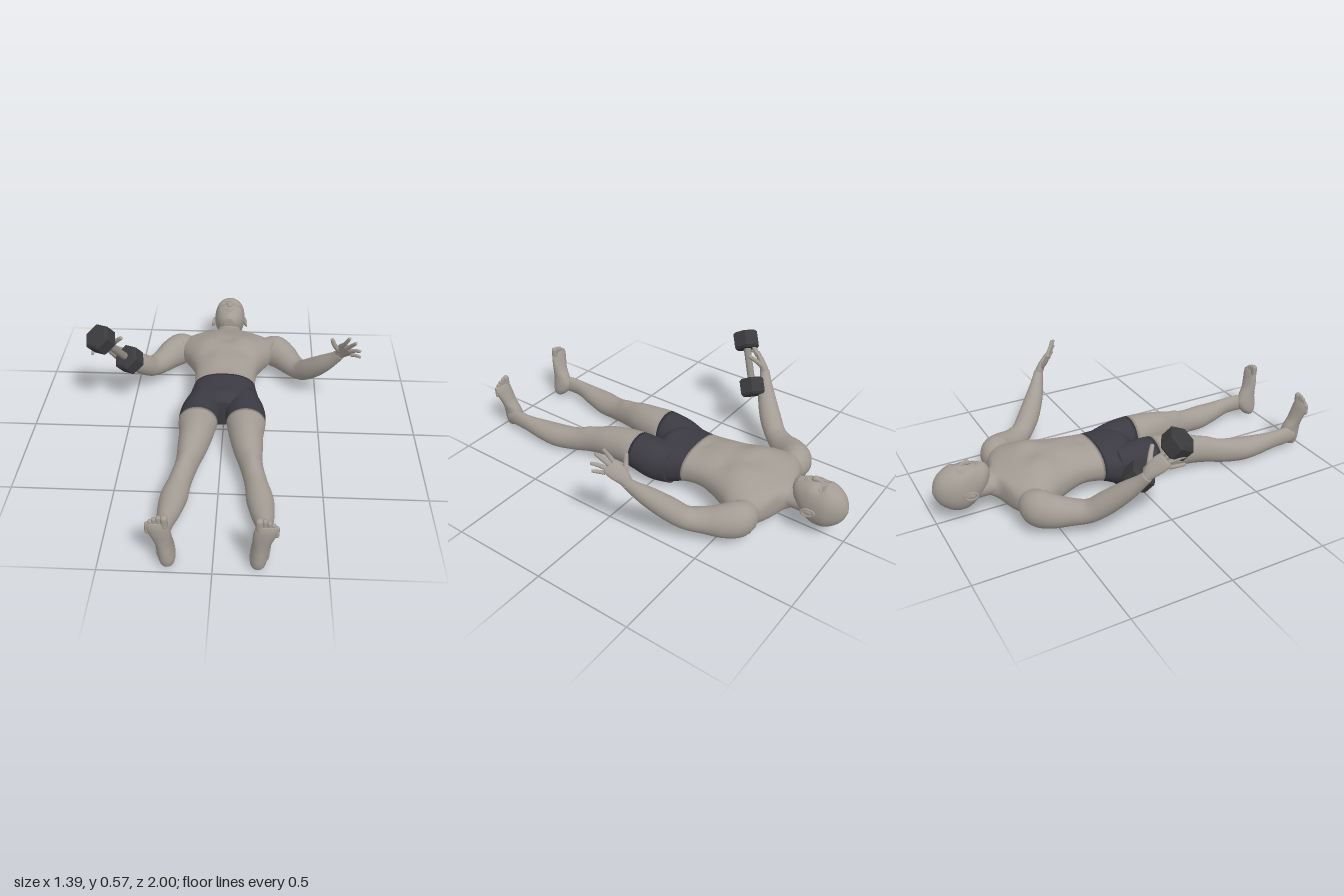
import * as THREE from 'three';

const V = (x, y, z) => new THREE.Vector3(x, y, z);
const mat = (name, color) => Object.assign(new THREE.MeshStandardMaterial({ color }), { name });
const X = V(1, 0, 0), Y = V(0, 1, 0), Z = V(0, 0, 1);

// Smooth closed loft through rows [x, y, z, halfWidth, halfDepth]; from/to are row indices.
function sweep(rows, { axis, side = X, from = 0, to = rows.length - 1, n = 32, sub = 5, power = 2 } = {}) {
  const sample = (t) => {
    const i = Math.min(Math.floor(t), rows.length - 2), f = t - i;
    const at = (k) => rows[Math.max(0, Math.min(rows.length - 1, k))];
    return rows[0].map((_, c) => {
      const a = at(i - 1)[c], b = at(i)[c], d = at(i + 1)[c], e = at(i + 2)[c];
      return b + 0.5 * f * (d - a + f * (2 * a - 5 * b + 4 * d - e + f * (3 * (b - d) + e - a)));
    });
  };
  const pos = [], idx = [], m = Math.round((to - from) * sub);
  const bend = (c) => Math.sign(c) * Math.abs(c) ** (2 / power);
  for (let i = 0; i <= m; i++) {
    const t = from + (i / m) * (to - from), r = sample(t), c = V(...r);
    const last = rows.length - 1;
    const dir = axis ? axis.clone()
      : V(...sample(Math.min(last, t + 0.1))).sub(V(...sample(Math.max(0, t - 0.1)))).normalize();
    const u = side.clone().addScaledVector(dir, -side.dot(dir)).normalize(), v = dir.clone().cross(u);
    for (let j = 0; j < n; j++) {
      const a = (j / n) * Math.PI * 2;
      pos.push(...c.clone().addScaledVector(u, r[3] * bend(Math.cos(a))).addScaledVector(v, r[4] * bend(Math.sin(a))));
      if (i < m) {
        const k = i * n, j2 = (j + 1) % n;
        idx.push(k + j, k + j2, k + n + j, k + j2, k + n + j2, k + n + j);
      }
    }
  }
  const e0 = pos.length / 3, e1 = e0 + 1;
  pos.push(...sample(from).slice(0, 3), ...sample(to).slice(0, 3));
  for (let j = 0; j < n; j++) {
    const j2 = (j + 1) % n;
    idx.push(e0, j2, j, e1, m * n + j, m * n + j2);
  }
  const g = new THREE.BufferGeometry();
  g.setAttribute('position', new THREE.Float32BufferAttribute(pos, 3));
  g.setIndex(idx);
  g.computeVertexNormals();
  return g;
}

// Soft pushes [x, y, z, radius, dx, dy, dz] that model muscle and face forms.
function sculpt(g, pushes) {
  const p = g.attributes.position, v = V();
  for (let i = 0; i < p.count; i++) {
    v.fromBufferAttribute(p, i);
    const o = v.clone();
    for (const [x, y, z, r, dx, dy, dz] of pushes)
      v.addScaledVector(V(dx, dy, dz), Math.exp(-o.distanceToSquared(V(x, y, z)) / (r * r)));
    p.setXYZ(i, v.x, v.y, v.z);
  }
  g.computeVertexNormals();
  return g;
}
const both = (list) => list.flatMap((q) => [q, [-q[0], q[1], q[2], q[3], -q[4], q[5], q[6]]]);

export function createModel() {
  const model = new THREE.Group();
  const skin = mat('skin', 0xa39c94), cloth = mat('shorts', 0x3c3b43);
  const iron = mat('iron', 0x3b3b3e), steel = mat('steel', 0x8c8882);
  const add = (name, geo, m, parent = model) => {
    const o = new THREE.Mesh(geo, m);
    o.name = name;
    parent.add(o);
    return o;
  };
  const blob = (name, p, r, parent) => {
    const o = add(name, new THREE.SphereGeometry(1, 18, 12), skin, parent);
    o.position.set(...p);
    o.scale.set(...r);
    return o;
  };

  // Torso and the seat of the shorts share one loft
  const trunk = [
    [0, 0.16, -0.74, 0.06, 0.05], [0, 0.15, -0.70, 0.085, 0.068], [0, 0.142, -0.66, 0.20, 0.086],
    [0, 0.138, -0.60, 0.275, 0.108], [0, 0.142, -0.52, 0.255, 0.118], [0, 0.15, -0.44, 0.212, 0.117],
    [0, 0.157, -0.36, 0.18, 0.106], [0, 0.16, -0.28, 0.165, 0.094], [0, 0.146, -0.18, 0.165, 0.1],
    [0, 0.123, -0.08, 0.188, 0.117], [0, 0.125, -0.02, 0.17, 0.108], [0, 0.13, 0.03, 0.07, 0.07],
  ];
  const trunkOpts = { axis: Z, n: 56, sub: 7, power: 2.3 };
  add('torso', sculpt(sweep(trunk, { ...trunkOpts, to: 8 }), [
    ...both([[0.1, 0.25, -0.5, 0.075, 0, 0.014, 0], [0.11, 0.03, -0.56, 0.08, 0, -0.012, 0],
      [0.05, 0.255, -0.3, 0.05, 0, 0.005, 0], [0.1, 0.25, -0.39, 0.045, 0, -0.007, 0]]),
    [0, 0.26, -0.5, 0.04, 0, -0.01, 0], [0, 0.25, -0.23, 0.015, 0, -0.01, 0],
    ...[-0.58, -0.5, -0.42, -0.34, -0.26].map((z) => [0, 0.04, z, 0.045, 0, 0.01, 0]),
  ]), skin);
  add('shortsSeat', sculpt(sweep(trunk, { ...trunkOpts, from: 8 }), [
    [0, 0, -0.06, 0.04, 0, 0.025, 0], [0, 0.02, 0, 0.04, 0, 0.03, 0], [0, 0.23, 0, 0.05, 0, 0.012, 0],
  ]), cloth);

  // Neck and head
  add('neck', sweep([
    [0, 0.165, -0.85, 0.06, 0.06], [0, 0.163, -0.77, 0.064, 0.058], [0, 0.16, -0.72, 0.068, 0.056],
    [0, 0.15, -0.67, 0.09, 0.072], [0, 0.145, -0.62, 0.13, 0.085],
  ], { axis: Z }), skin);
  const head = new THREE.Group();
  head.name = 'head';
  model.add(head);
  add('skull', sculpt(sweep([
    [0, 0.19, -1, 0.006, 0.008], [0, 0.19, -0.985, 0.038, 0.05], [0, 0.19, -0.96, 0.063, 0.082],
    [0, 0.188, -0.92, 0.083, 0.108], [0, 0.187, -0.88, 0.088, 0.117], [0, 0.188, -0.84, 0.086, 0.112],
    [0, 0.2, -0.80, 0.079, 0.094], [0, 0.21, -0.77, 0.068, 0.075], [0, 0.22, -0.745, 0.052, 0.054],
    [0, 0.232, -0.727, 0.028, 0.028],
  ], { axis: Z, n: 48, sub: 7, power: 2.15 }), [
    ...both([[0.034, 0.295, -0.868, 0.02, 0, -0.016, 0], [0.035, 0.295, -0.893, 0.018, 0, 0.005, 0],
      [0.055, 0.26, -0.83, 0.025, 0.004, 0.005, 0]]),
    [0, 0.275, -0.742, 0.022, 0, 0.008, 0],
  ]), skin, head);
  add('nose', sweep([[0, 0.288, -0.885, 0.007, 0.008], [0, 0.296, -0.86, 0.008, 0.01],
    [0, 0.303, -0.835, 0.011, 0.013], [0, 0.305, -0.82, 0.016, 0.014], [0, 0.299, -0.809, 0.01, 0.007]],
  { axis: Z, n: 16 }), skin, head);
  blob('upperLip', [0, 0.289, -0.791, ], [0.023, 0.009, 0.006], head);
  blob('lowerLip', [0, 0.285, -0.78], [0.02, 0.01, 0.006], head);

  for (const s of [1, -1]) {
    const label = s > 0 ? 'left' : 'right';
    const flip = (rows) => rows.map(([x, ...r]) => [x * s, ...r]);
    const group = (name) => {
      const g = new THREE.Group();
      g.name = label + name;
      model.add(g);
      return g;
    };
    blob(label + 'Eye', [s * 0.034, 0.276, -0.868], [0.015, 0.011, 0.009], head);

    // Ear: a shell with a raised rim
    const ear = group('Ear');
    ear.position.set(s * 0.09, 0.175, -0.843);
    ear.rotation.y = s * 0.2;
    blob('earShell', [0, 0, 0], [0.008, 0.018, 0.03], ear);
    const rim = add('earRim', new THREE.TorusGeometry(0.02, 0.005, 8, 24), skin, ear);
    rim.rotation.y = Math.PI / 2;
    rim.scale.set(1.5, 0.95, 1);
    rim.position.x = s * 0.005;

    // Leg, split at the hem of the shorts
    const leg = flip([
      [0.1, 0.122, -0.1, 0.085, 0.1], [0.113, 0.127, 0, 0.103, 0.107], [0.122, 0.142, 0.11, 0.099, 0.095],
      [0.125, 0.138, 0.2, 0.086, 0.093], [0.136, 0.13, 0.3, 0.073, 0.083], [0.155, 0.108, 0.4, 0.056, 0.072],
      [0.18, 0.086, 0.5, 0.055, 0.066], [0.2, 0.078, 0.6, 0.063, 0.063], [0.212, 0.08, 0.7, 0.054, 0.055],
      [0.223, 0.088, 0.8, 0.035, 0.047], [0.223, 0.09, 0.88, 0.029, 0.047], [0.214, 0.085, 0.95, 0.03, 0.045],
    ]);
    add(label + 'ShortsLeg', sweep(leg, { axis: Z, to: 2, n: 40 }), cloth);
    add(label + 'Leg', sculpt(sweep(leg, { axis: Z, from: 2, n: 40 }), [
      [s * 0.16, 0.175, 0.42, 0.035, 0, 0.008, 0], [s * 0.165, 0.02, 0.6, 0.05, -s * 0.006, 0, 0],
    ]), skin);

    // Foot pointing up, with five toes
    const foot = group('Foot');
    add('sole', sweep(flip([
      [0.195, 0.016, 0.957, 0.012, 0.012], [0.195, 0.028, 0.953, 0.029, 0.03], [0.197, 0.06, 0.943, 0.038, 0.05],
      [0.201, 0.1, 0.937, 0.039, 0.057], [0.206, 0.14, 0.943, 0.039, 0.049], [0.212, 0.18, 0.957, 0.043, 0.036],
      [0.22, 0.22, 0.967, 0.049, 0.029], [0.228, 0.258, 0.974, 0.051, 0.022], [0.231, 0.282, 0.977, 0.042, 0.013],
    ]), { axis: Y }), skin, foot);
    [[0.196, 0.305, 0.016], [0.219, 0.306, 0.011], [0.238, 0.298, 0.0105], [0.255, 0.286, 0.01], [0.27, 0.271, 0.01]]
      .forEach(([x, tip, r], i) => {
        const toe = add('toe' + (i + 1), new THREE.CapsuleGeometry(r, 0.04, 6, 14), skin, foot);
        toe.position.set(s * x, tip - 0.02, 0.976);
      });

    // Arm, shoulder to wrist
    add(label + 'Arm', sweep(flip([
      [0.19, 0.145, -0.585, 0.06, 0.06], [0.265, 0.138, -0.59, 0.09, 0.082], [0.32, 0.132, -0.54, 0.084, 0.077],
      [0.365, 0.13, -0.465, 0.066, 0.064], [0.415, 0.143, -0.39, 0.056, 0.056], [0.465, 0.2, -0.325, 0.056, 0.056],
      [0.525, 0.275, -0.262, 0.047, 0.046], [0.575, 0.338, -0.22, 0.033, 0.031], [0.602, 0.378, -0.198, 0.026, 0.025],
    ]), { side: Y }), skin);

    // Hand: flat palm and five digits; the right one curls round the handle
    const hand = group('Hand'), curl = s > 0 ? 0 : 0.032;
    const palmDir = V(-0.61 * s, -0.24, 0.75);
    add('palm', sweep(flip([
      [0.596, 0.368, -0.203, 0.024, 0.023], [0.606, 0.402, -0.182, 0.034, 0.02], [0.619, 0.432, -0.154, 0.04, 0.016],
      [0.629, 0.452, -0.132, 0.038, 0.013], [0.632, 0.46, -0.125, 0.028, 0.008],
    ]), { side: V(0.8 * s, -0.35, 0.5), n: 24 }), skin, hand);
    [
      ['thumb', [0.592, 0.405, -0.186], [0.564, 0.448, -0.168], [0.55, 0.486, -0.16], 0.012],
      ['indexFinger', [0.604, 0.455, -0.147], [0.616, 0.495, -0.118], [0.629, 0.53, -0.1], 0.01],
      ['middleFinger', [0.623, 0.452, -0.133], [0.643, 0.488, -0.102], [0.659, 0.517, -0.078], 0.01],
      ['ringFinger', [0.638, 0.442, -0.122], [0.662, 0.464, -0.094], [0.682, 0.476, -0.07], 0.0095],
      ['littleFinger', [0.648, 0.424, -0.116], [0.669, 0.434, -0.096], [0.686, 0.439, -0.076], 0.0085],
    ].forEach(([name, a, b, c, r]) => {
      const pts = [a, b, c].map(([x, y, z], i) => V(x * s, y, z).addScaledVector(palmDir, curl * i * i / 4));
      const end = pts[2].clone().addScaledVector(pts[2].clone().sub(pts[1]), 0.1);
      add(name, sweep([[...pts[0], r * 1.15, r * 1.15], [...pts[1], r, r], [...pts[2], r * 0.8, r * 0.8],
        [...end, r * 0.3, r * 0.3]], { n: 14 }), skin, hand);
    });
  }

  // Dumbbell: six-sided bevelled heads on a round handle
  const dumbbell = new THREE.Group();
  dumbbell.name = 'dumbbell';
  const top = V(-0.618, 0.512, -0.062), low = V(-0.503, 0.317, -0.183);
  dumbbell.position.copy(top).add(low).multiplyScalar(0.5);
  dumbbell.quaternion.setFromUnitVectors(Y, top.clone().sub(low).normalize());
  model.add(dumbbell);
  const h = 0.046, R = 0.073;
  const headGeo = new THREE.LatheGeometry([[0, -h], [R * 0.82, -h], [R, -h + 0.012], [R, h - 0.012], [R * 0.82, h], [0, h]]
    .map((p) => new THREE.Vector2(...p)), 6).toNonIndexed();
  headGeo.computeVertexNormals();
  const half = top.distanceTo(low) / 2;
  for (const s of [1, -1]) add(s > 0 ? 'upperWeight' : 'lowerWeight', headGeo, iron, dumbbell).position.y = s * half;
  add('handle', new THREE.CylinderGeometry(0.019, 0.019, half * 2, 24), steel, dumbbell);
  return model;
}
